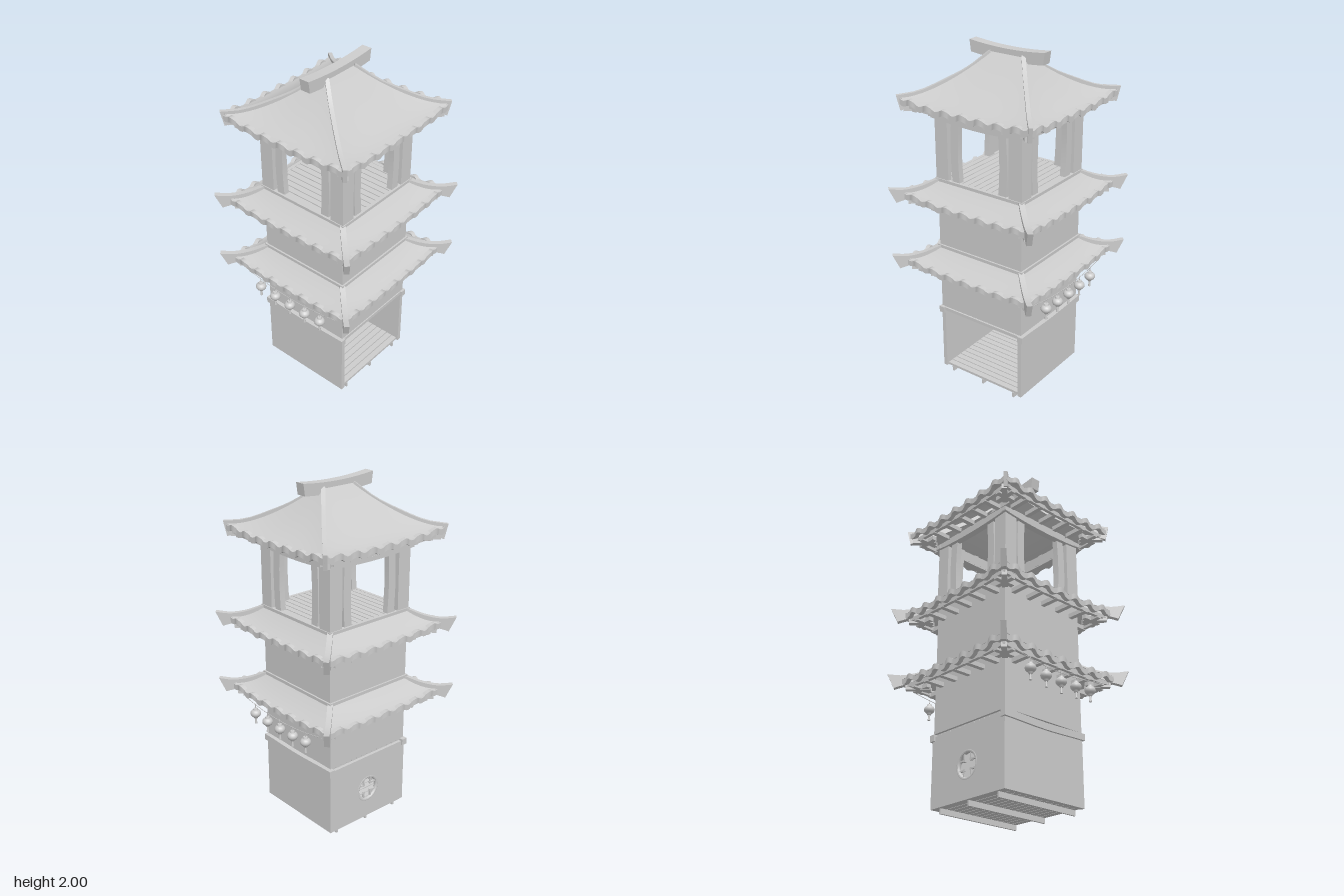
import * as THREE from 'three';

const mat = new THREE.MeshStandardMaterial({ color: 0xcccccc, side: THREE.DoubleSide });
const PITCH = 0.113; // spacing of tiles, rafters and lanterns

function add(parent, name, geo, x = 0, y = 0, z = 0) {
  const m = new THREE.Mesh(geo, mat);
  m.name = name;
  m.position.set(x, y, z);
  parent.add(m);
  return m;
}

const box = (parent, name, w, h, d, x, y, z) => add(parent, name, new THREE.BoxGeometry(w, h, d), x, y, z);

function group(parent, name) {
  const g = new THREE.Group();
  g.name = name;
  parent.add(g);
  return g;
}

// Moves every vertex of a geometry by a rule
function warp(geo, rule) {
  const p = geo.attributes.position, v = new THREE.Vector3();
  for (let i = 0; i < p.count; i++) {
    rule(v.fromBufferAttribute(p, i));
    p.setXYZ(i, v.x, v.y, v.z);
  }
  geo.computeVertexNormals();
  return geo;
}

// Calls build once per side, in a group turned so that +z points outwards
function fourSides(parent, name, build) {
  for (let k = 0; k < 4; k++) {
    const g = group(parent, name);
    g.rotation.y = k * Math.PI / 2;
    build(g, k);
  }
}

// Curved bar down a roof corner; depth grows towards the tip
function hip(parent, sx, sz, points, width, d0, d1, tilt) {
  const curve = new THREE.CatmullRomCurve3(points.map(p => new THREE.Vector3(p[0] * sx, p[1], p[2] * sz)));
  const out = new THREE.Vector3(sx, 0, sz).normalize();
  const across = new THREE.Vector3(-out.z, 0, out.x);
  // swapped sideways on two corners to keep faces outwards
  const geo = warp(new THREE.BoxGeometry(1, 1, 1, 10, 1, 1), v => {
    const t = v.x + 0.5, drop = 0.5 - v.y, side = v.z * width;
    const depth = THREE.MathUtils.lerp(d0, d1, t * t);
    v.copy(curve.getPoint(t)).addScaledVector(across, side).addScaledVector(out, -tilt * drop * t);
    v.y -= drop * depth;
  });
  add(parent, 'hipRidge', geo);
}

// Four curved slopes with wavy tile edge, eave board and rafters.
// r: inner/outer half sizes, heights, power of the curve, corner lift, rafter start
function roof(parent, name, r) {
  const g = group(parent, name);
  fourSides(g, 'roofSide', (s, k) => {
    const a = k % 2, b = 1 - a; // index 0 = x, 1 = z
    const half1 = r.outer[a], out1 = r.outer[b];
    const rise = x => r.lift * Math.pow(Math.abs(x) / half1, 3);
    add(s, 'slope', warp(new THREE.PlaneGeometry(1, 1, 24, 12), v => {
      const u = 0.5 - v.y, t = v.x * 2;
      v.set(t * THREE.MathUtils.lerp(r.inner[a], half1, u),
        r.eave + (r.top - r.eave) * Math.pow(1 - u, r.power) + r.lift * u * u * Math.abs(t) ** 3,
        THREE.MathUtils.lerp(r.inner[b], out1, u));
    }));
    add(s, 'tileEdge', warp(new THREE.BoxGeometry(half1 * 2, 0.032, 0.026, 112, 1, 1), v => {
      const wave = Math.cos(v.x / PITCH * Math.PI * 2);
      v.y += r.eave - 0.012 + rise(v.x) + 0.011 * wave;
      v.z += out1 - 0.008 + 0.008 * Math.max(0, wave);
    }));
    add(s, 'eaveBoard', warp(new THREE.BoxGeometry(half1 * 2 - 0.03, 0.022, 0.02, 24, 1, 1), v => {
      v.y += r.eave - 0.033 + rise(v.x) * 0.6;
      v.z += out1 - 0.03;
    }));
    for (let i = -3; i <= 3; i++) {
      const len = out1 - 0.02 - r.rafter;
      box(s, 'rafter', 0.028, 0.025, len, i * PITCH, r.eave - 0.034, r.rafter + len / 2);
    }
  });
  for (const sx of [-1, 1]) for (const sz of [-1, 1]) {
    hip(g, sx, sz, r.hip, r.hipWidth, 0.03, 0.085, r.tilt);
    const nub = box(g, 'cornerRafter', 0.03, 0.035, 0.14, sx * 0.355, r.eave - 0.03, sz * 0.355);
    nub.rotation.y = Math.atan2(sx, sz);
  }
  return g;
}

// Planks along x with joists below along z
function plankFloor(parent, name, size, y, joistHeight) {
  const g = group(parent, name);
  const n = 14, w = size / n;
  for (let i = 0; i < n; i++) box(g, 'plank', size, 0.015, w * 0.86, 0, y, (i + 0.5) * w - size / 2);
  for (const x of [-0.225, 0, 0.225]) box(g, 'joist', 0.012, joistHeight, size, x, y - 0.0075 - joistHeight / 2, 0);
  return g;
}

function lantern(parent, x, y, z) {
  const g = group(parent, 'lantern');
  g.position.set(x, y, z);
  const body = add(g, 'lanternBody', new THREE.SphereGeometry(0.031, 16, 10));
  body.scale.y = 0.82;
  add(g, 'lanternCap', new THREE.CylinderGeometry(0.012, 0.015, 0.01, 10), 0, 0.027, 0);
  add(g, 'lanternBase', new THREE.CylinderGeometry(0.015, 0.01, 0.01, 10), 0, -0.027, 0);
  add(g, 'tassel', new THREE.CylinderGeometry(0.004, 0.008, 0.035, 8), 0, -0.048, 0);
  add(g, 'cord', new THREE.CylinderGeometry(0.002, 0.002, 0.03, 6), 0, 0.045, 0);
}

export function createModel() {
  const model = new THREE.Group();
  model.name = 'pagodaTower';

  // Ground room: open on +x, round window on -x
  const room = group(model, 'groundRoom');
  plankFloor(room, 'groundFloor', 0.55, 0.0375, 0.03).rotation.y = Math.PI / 2;
  plankFloor(room, 'ceiling', 0.55, 0.44, 0.018);
  for (const s of [-1, 1]) {
    box(room, 'sideWall', 0.575, 0.4, 0.025, -0.0025, 0.23, s * 0.2755);
    add(room, 'wallBeam', warp(new THREE.BoxGeometry(0.595, 0.038, 0.035, 16, 1, 1), v => {
      v.y -= 0.004 * Math.cos(v.x * 10);
    }), -0.0025, 0.42, s * 0.283);
  }
  const wall = new THREE.Shape();
  wall.moveTo(-0.265, 0.03).lineTo(0.265, 0.03).lineTo(0.265, 0.43).lineTo(-0.265, 0.43).closePath();
  wall.holes.push(new THREE.Path().absarc(0, 0.215, 0.07, 0, Math.PI * 2, true));
  const wallMesh = add(room, 'windowWall',
    new THREE.ExtrudeGeometry(wall, { depth: 0.025, bevelEnabled: false, curveSegments: 24 }), -0.265, 0, 0);
  wallMesh.rotation.y = -Math.PI / 2;
  box(room, 'openingLintel', 0.02, 0.02, 0.55, 0.275, 0.43, 0);

  // Round window frame and lattice around a cross-shaped gap
  const win = group(room, 'roundWindow');
  win.position.set(-0.28, 0.215, 0);
  win.rotation.y = Math.PI / 2;
  add(win, 'windowRing', new THREE.TorusGeometry(0.076, 0.012, 8, 32));
  for (const a of [-1, 1]) for (const b of [-1, 1]) {
    box(win, 'latticeBar', 0.008, 0.045, 0.012, a * 0.026, b * 0.0445, 0);
    box(win, 'latticeBar', 0.045, 0.008, 0.012, a * 0.0445, b * 0.026, 0);
    box(win, 'latticeBlock', 0.014, 0.014, 0.012, a * 0.026, b * 0.026, 0);
  }

  // Solid middle storeys and their trims
  box(model, 'towerBody', 0.57, 0.8, 0.57, 0, 0.85, 0);
  for (const y of [0.85, 1.262]) {
    fourSides(model, 'roofTrim', s => box(s, 'trim', 0.59, 0.018, 0.02, 0, y, 0.285));
  }

  // Two skirt roofs
  for (const y of [0, 0.414]) {
    roof(model, 'skirtRoof', {
      inner: [0.284, 0.284], outer: [0.425, 0.425], top: 0.85 + y, eave: 0.76 + y, power: 1.5, lift: 0.025,
      rafter: 0.28, hipWidth: 0.03, tilt: 0.04,
      hip: [[0.28, 0.857 + y, 0.28], [0.35, 0.818 + y, 0.35], [0.42, 0.8 + y, 0.42], [0.48, 0.808 + y, 0.48]],
    });
  }

  // Lantern rows on front and back
  for (const z of [-0.412, 0.412]) {
    const row = group(model, 'lanternRow');
    const pts = [-3, -2, -1, 0, 1, 2, 3].map(i => new THREE.Vector3(i * PITCH, 0.685 + 0.004 * i * i, z));
    add(row, 'lanternString', new THREE.TubeGeometry(new THREE.CatmullRomCurve3(pts), 32, 0.002, 5));
    for (let i = -2; i <= 2; i++) lantern(row, i * PITCH, 0.634 + 0.003 * i * i, z);
  }

  // Open pavilion
  const pavilion = group(model, 'pavilion');
  plankFloor(pavilion, 'deck', 0.56, 1.262, 0.01);
  fourSides(pavilion, 'pavilionSide', s => {
    for (const a of [-1, 1]) {
      box(s, 'cornerPost', 0.085, 0.41, 0.028, a * 0.2475, 1.455, 0.276);
      add(s, 'slimPost', warp(new THREE.BoxGeometry(0.05, 0.36, 0.035, 1, 10, 1), v => {
        v.x += a * 0.008 * Math.cos(v.y / 0.36 * Math.PI);
      }), a * 0.156, 1.44, 0.265);
    }
    add(s, 'topBeam', warp(new THREE.BoxGeometry(0.61, 0.025, 0.04, 20, 1, 1), v => {
      v.y -= 0.016 * (1 - (v.x / 0.305) ** 2);
    }), 0, 1.634, 0.283);
    box(s, 'beamBoard', 0.42, 0.06, 0.015, 0, 1.645, 0.27);
  });

  // Top roof, ridge and hanging lamp
  const top = roof(model, 'topRoof', {
    inner: [0.03, 0.11], outer: [0.415, 0.428], top: 1.955, eave: 1.715, power: 1.5, lift: 0.025,
    rafter: 0.28, hipWidth: 0.022, tilt: 0.02,
    hip: [[0.028, 1.965, 0.108], [0.12, 1.88, 0.185], [0.22, 1.82, 0.268], [0.33, 1.767, 0.358], [0.425, 1.752, 0.436]],
  });
  add(top, 'ridgeBeam', warp(new THREE.BoxGeometry(0.06, 0.066, 0.48, 1, 1, 16), v => {
    v.z *= 1 + v.y * 0.6;
    v.y += 0.25 * v.z * v.z;
  }), 0, 1.952, 0.003);
  const lamp = group(pavilion, 'hangingLamp');
  add(lamp, 'lampCord', new THREE.CylinderGeometry(0.003, 0.003, 0.34, 6), 0, 1.77, 0);
  add(lamp, 'lampCap', new THREE.SphereGeometry(0.016, 12, 8), 0, 1.592, 0);
  add(lamp, 'lampDrop', new THREE.CylinderGeometry(0.008, 0.003, 0.04, 8), 0, 1.565, 0);

  return model;
}
